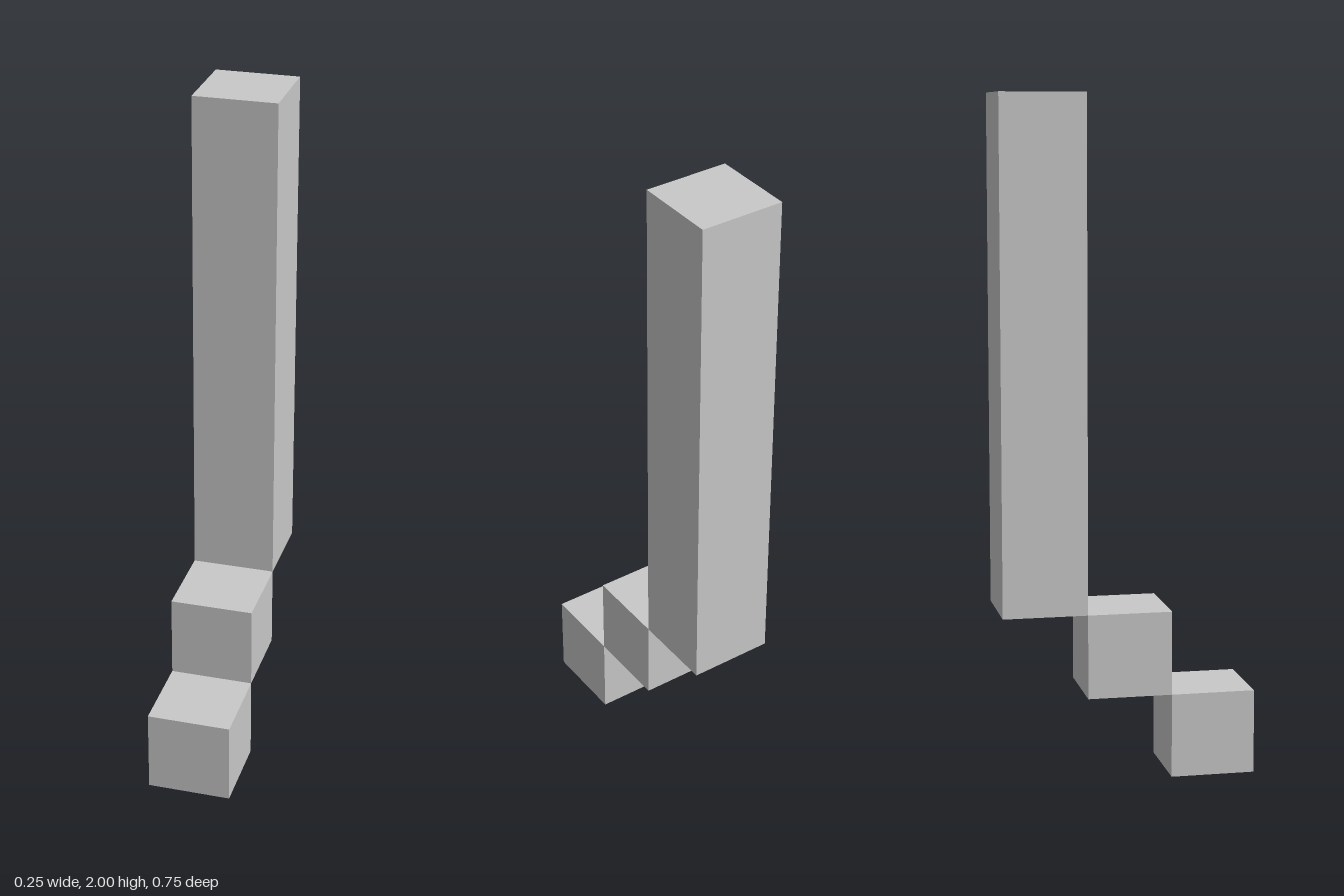
import * as THREE from 'three';

export function createModel() {
  const group = new THREE.Group();
  group.name = 'steppedPost';
  const grey = new THREE.MeshStandardMaterial({ color: 0xc8c8c8 });
  grey.name = 'lightGrey';

  const S = 0.25; // side of the square section

  // Each block: name, height, bottom y, centre z
  const blocks = [
    ['lowerStep', S, 0, S],
    ['upperStep', S, S, 0],
    ['tallPost', 6 * S, 2 * S, -S],
  ];
  for (const [name, height, bottom, z] of blocks) {
    const block = new THREE.Mesh(new THREE.BoxGeometry(S, height, S), grey);
    block.name = name;
    block.position.set(0, bottom + height / 2, z);
    group.add(block);
  }
  return group;
}
